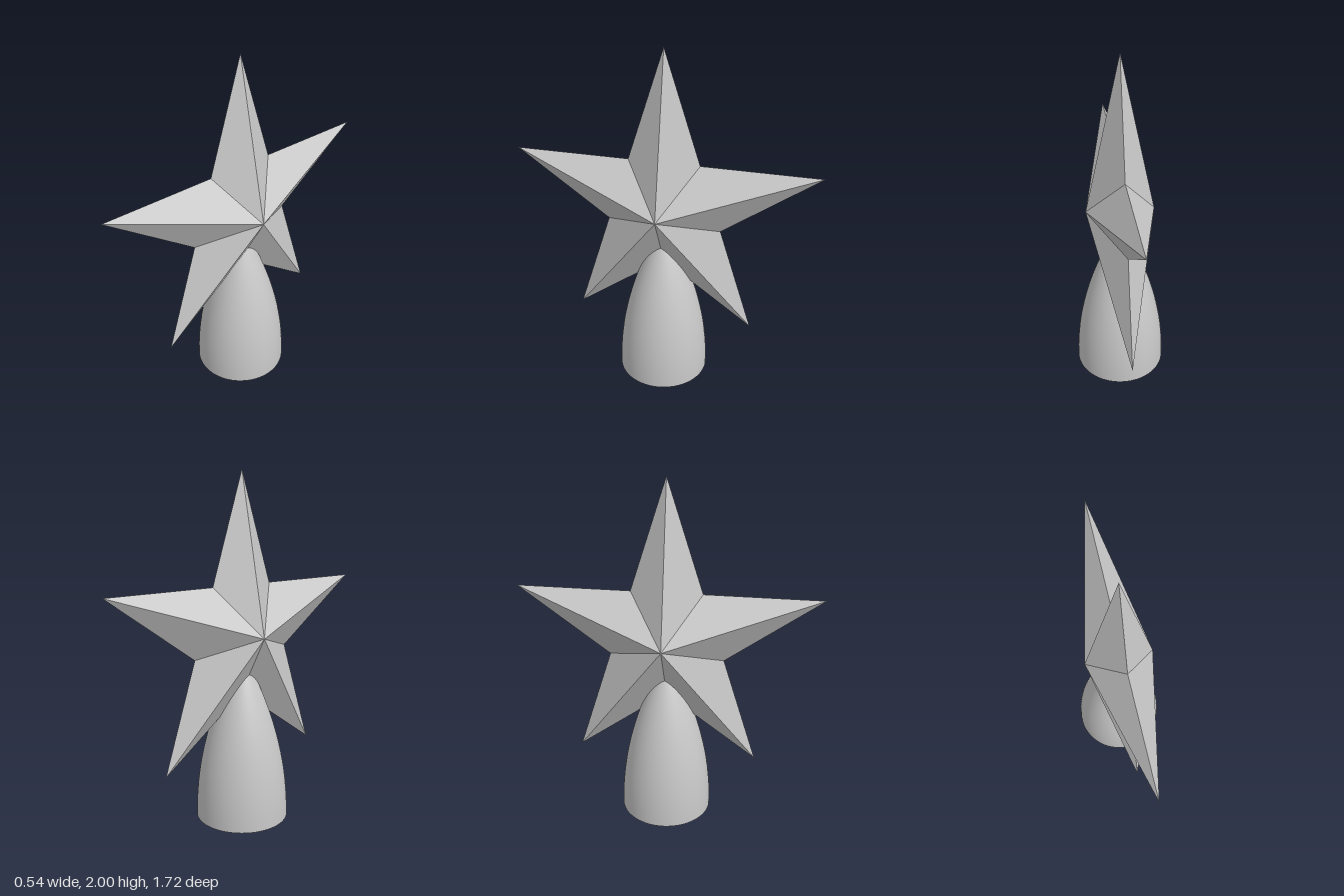
import * as THREE from 'three';

const STAR_Y = 1.095, OUTER = 0.905, INNER = 0.3457, HALF_DEPTH = 0.195;
const BASE_RADIUS = 0.27, BASE_HEIGHT = 1;

// Faceted five-pointed star in the YZ plane, ridged to a peak on each side
function starGeometry() {
  const ring = Array.from({ length: 10 }, (_, i) => {
    const a = (i * Math.PI) / 5, r = i % 2 ? INNER : OUTER;
    return [0, r * Math.cos(a), r * Math.sin(a)];
  });
  const positions = [];
  ring.forEach((p, i) => {
    const q = ring[(i + 1) % ring.length];
    positions.push(HALF_DEPTH, 0, 0, ...p, ...q);
    positions.push(-HALF_DEPTH, 0, 0, ...q, ...p);
  });
  const geometry = new THREE.BufferGeometry();
  geometry.setAttribute('position', new THREE.Float32BufferAttribute(positions, 3));
  geometry.computeVertexNormals();
  return geometry;
}

// Parabolic dome that tapers up into the star
function pedestalGeometry() {
  const profile = [];
  for (let i = 0; i <= 24; i++) {
    const t = i / 24;
    profile.push(new THREE.Vector2(BASE_RADIUS * (1 - t * t), BASE_HEIGHT * t));
  }
  return new THREE.LatheGeometry(profile, 64);
}

export function createModel() {
  const model = new THREE.Group();
  model.name = 'starTrophy';
  const grey = new THREE.MeshStandardMaterial({ color: 0xc8c8c8 });
  grey.name = 'lightGrey';

  const add = (name, geometry, y) => {
    const mesh = new THREE.Mesh(geometry, grey);
    mesh.name = name;
    mesh.position.y = y;
    model.add(mesh);
  };

  add('star', starGeometry(), STAR_Y);
  add('pedestal', pedestalGeometry(), 0);
  // Flat underside
  add('pedestalBottom', new THREE.CircleGeometry(BASE_RADIUS, 64).rotateX(Math.PI / 2), 0);
  return model;
}
